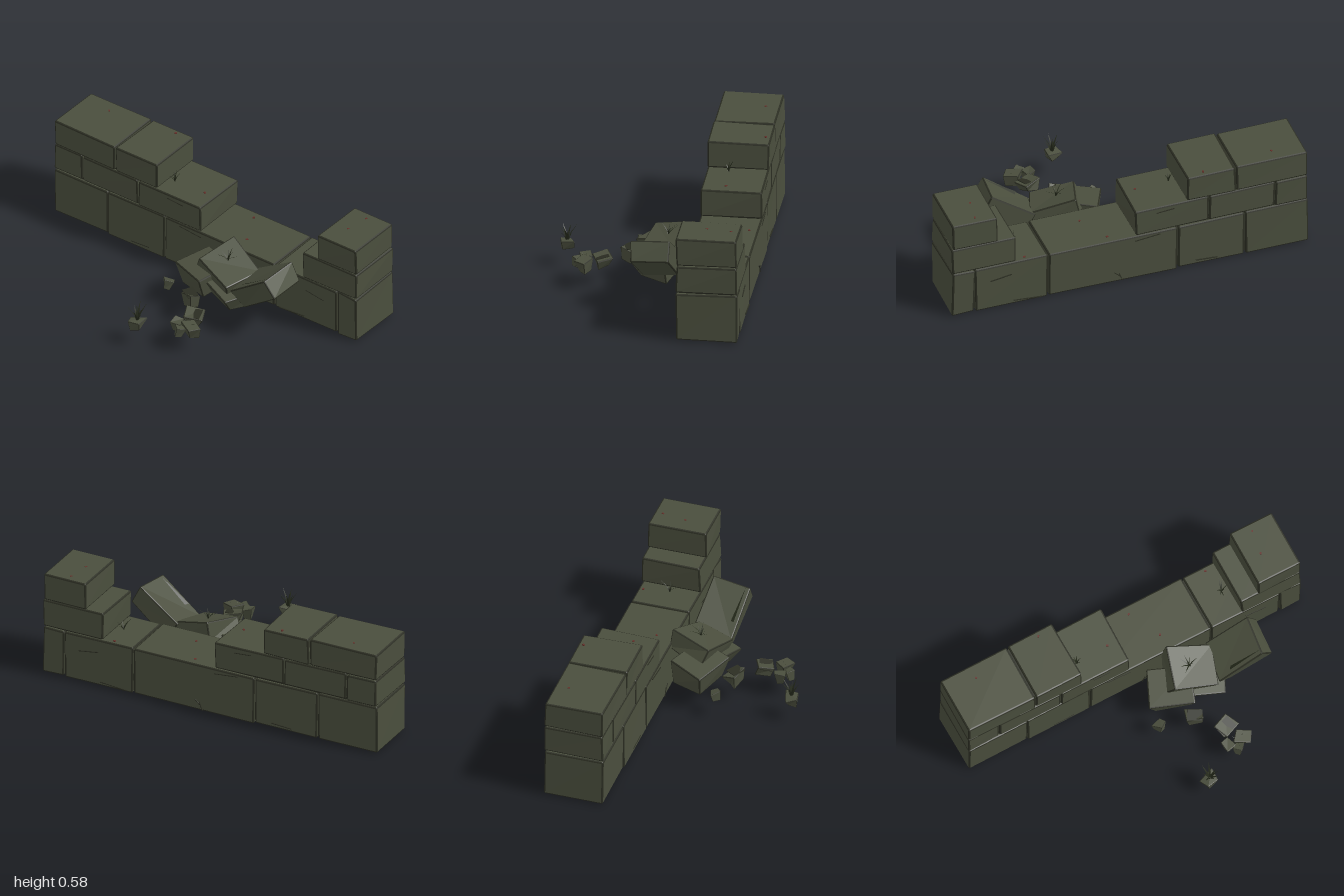
import * as THREE from 'three';
import { mergeGeometries } from 'three/addons/utils/BufferGeometryUtils.js';
import { RoundedBoxGeometry } from 'three/addons/geometries/RoundedBoxGeometry.js';

const mat = (name, color, side = THREE.FrontSide) => {
  const m = new THREE.MeshStandardMaterial({ color, side });
  m.name = name;
  return m;
};

export function createModel() {
  const root = new THREE.Group();
  root.name = 'ruinedWall';
  const stone = mat('mossy stone', 0x4a4e3d);
  const edge = mat('dark worn edge', 0x2b2d22);
  const grass = mat('dark grass', 0x262b1c, THREE.DoubleSide);
  const red = mat('red fleck', 0x63302a);

  let seed = 7;
  const rand = () => (seed = (seed * 16807) % 2147483647) / 2147483647;
  const spread = a => (rand() * 2 - 1) * a;

  // Chamfered block: corners shifted as whole octants, chamfers in the edge colour
  function block(name, size, pos, rot = [0, 0, 0], jitter = 0.004, bevel = 0.009, taper = 1) {
    const src = new RoundedBoxGeometry(...size, 1, bevel);
    const flat = src.index ? src.toNonIndexed() : src;
    const p = flat.attributes.position;
    const shift = Array.from({ length: 8 }, () => [spread(jitter), spread(jitter), spread(jitter)]);
    const faces = [], edges = [];
    const v = [new THREE.Vector3(), new THREE.Vector3(), new THREE.Vector3()];
    const n = new THREE.Vector3();
    const tri = new THREE.Triangle();
    for (let i = 0; i < p.count; i += 3) {
      v.forEach((q, k) => q.fromBufferAttribute(p, i + k));
      tri.set(...v).getNormal(n);
      const out = Math.max(Math.abs(n.x), Math.abs(n.y), Math.abs(n.z)) > 0.98 ? faces : edges;
      for (const q of v) {
        const s = shift[(q.x > 0 ? 1 : 0) + (q.y > 0 ? 2 : 0) + (q.z > 0 ? 4 : 0)];
        const t = q.y < 0 ? taper : 1;
        out.push(q.x * t + s[0], q.y + s[1], q.z * t + s[2]);
      }
    }
    const g = new THREE.BufferGeometry();
    g.setAttribute('position', new THREE.Float32BufferAttribute(faces.concat(edges), 3));
    g.addGroup(0, faces.length / 3, 0);
    g.addGroup(faces.length / 3, edges.length / 3, 1);
    g.computeVertexNormals();
    const m = new THREE.Mesh(g, [stone, edge]);
    m.name = name;
    m.position.set(...pos);
    m.rotation.set(...rot);
    root.add(m);
    return m;
  }

  function box(name, size, pos, material, rot = [0, 0, 0]) {
    const m = new THREE.Mesh(new THREE.BoxGeometry(...size), material);
    m.name = name;
    m.position.set(...pos);
    m.rotation.set(...rot);
    root.add(m);
  }

  // Wall courses: bottom, top, then runs of joints along x
  const courses = [
    [0.004, 0.272, [[-1, -0.645, -0.27, 0.455, 0.865, 0.995]]],
    [0.276, 0.428, [[-0.997, -0.815, -0.445, -0.03], [0.635, 0.995]]],
    [0.432, 0.581, [[-0.997, -0.595, -0.32], [0.735, 0.99]]],
  ];
  courses.forEach(([y0, y1, runs], row) => {
    for (const xs of runs) {
      for (let i = 0; i < xs.length - 1; i++) {
        block('wallBlock', [xs[i + 1] - xs[i] - 0.005, y1 - y0, 0.325],
          [(xs[i] + xs[i + 1]) / 2, (y0 + y1) / 2, -0.366], [0, 0, 0], 0.0035, 0.009);
      }
      const a = xs[0] + 0.02, b = xs[xs.length - 1] - 0.02;
      box('jointFill', [b - a, y1 - y0 - (row ? 0.01 : 0.03), 0.295],
        [(a + b) / 2, (y0 + y1) / 2 - (row ? 0.01 : 0), -0.366], edge);
    }
  });

  // Fallen blocks in front of the gap
  block('fallenBlockLeft', [0.24, 0.13, 0.2], [0.12, 0.17, -0.04], [0.08, -0.42, 0.1], 0.016, 0.007, 0.88);
  block('fallenBlockLow', [0.22, 0.1, 0.2], [0.31, 0.15, -0.02], [0.1, -0.35, -0.1], 0.016, 0.007, 0.85);
  block('fallenBlockTop', [0.26, 0.12, 0.22], [0.25, 0.235, -0.075], [0.2, -0.32, -0.28], 0.014, 0.007);
  block('fallenBlockRight', [0.285, 0.115, 0.215], [0.525, 0.265, -0.035], [0.1, -0.1, 0.58], 0.012, 0.007);

  // Thin chip standing off the leaning block
  const chip = new THREE.BufferGeometry();
  chip.setAttribute('position', new THREE.Float32BufferAttribute([
    0.43, 0.28, 0.05, 0.45, 0.275, 0.02, 0.6, 0.392, 0.062,
    0.45, 0.275, 0.02, 0.61, 0.38, 0.02, 0.6, 0.392, 0.062], 3));
  chip.computeVertexNormals();
  const chipMesh = new THREE.Mesh(chip, grass);
  chipMesh.name = 'stoneChip';
  root.add(chipMesh);

  // Scattered rubble, narrower at the foot
  const rubble = [
    [-0.02, 0.12, 0.1, 0.055, 0.05, 0.5], [0.165, 0.125, 0.15, 0.09, 0.075, -0.5],
    [0.28, 0.13, 0.27, 0.1, 0.055, 0.25], [0.245, 0.12, 0.37, 0.06, 0.06, 0.3],
    [0.335, 0.125, 0.365, 0.085, 0.065, -0.6], [0.29, 0.12, 0.41, 0.05, 0.05, 0.7],
    [0.07, 0.118, 0.49, 0.08, 0.05, 0.25],
  ];
  for (const [x, y, z, s, h, yaw] of rubble) {
    block('rubble', [s, h, s * 0.9], [x, y, z], [spread(0.2), yaw, spread(0.2)], s * 0.13, s * 0.05, 0.68);
  }
  box('rubbleFlake', [0.08, 0.004, 0.06], [0.165, 0.17, 0.15], edge, [0.06, -0.5, 0]);
  box('rubbleFlake', [0.09, 0.004, 0.07], [0.28, 0.158, 0.28], edge, [0.2, 0.3, 0.05]);

  // Grass tufts: bent, pointed blades fanned around a root
  function tuft(x, y, z, height, reach, count) {
    const blades = [];
    for (let i = 0; i < count; i++) {
      const w = height * 0.055, h = height * (0.6 + 0.4 * rand()), r = reach * (0.25 + 0.75 * rand());
      const g = new THREE.BufferGeometry();
      g.setAttribute('position', new THREE.Float32BufferAttribute([
        -w, 0, 0, w, 0, 0, w * 0.8, h * 0.55, r * 0.35, -w * 0.8, h * 0.55, r * 0.35, 0, h, r], 3));
      g.setIndex([0, 1, 2, 0, 2, 3, 3, 2, 4]);
      g.computeVertexNormals();
      blades.push(g.rotateY((i / count) * Math.PI * 2 + spread(0.3)));
    }
    const m = new THREE.Mesh(mergeGeometries(blades), grass);
    m.name = 'grassTuft';
    m.position.set(x, y, z);
    root.add(m);
  }
  tuft(0.07, 0.13, 0.49, 0.12, 0.06, 11);
  tuft(-0.29, 0.428, -0.32, 0.06, 0.045, 8);
  tuft(0.6, 0.272, -0.36, 0.06, 0.06, 8);
  tuft(0.25, 0.29, -0.07, 0.06, 0.07, 8);
  tuft(0.3, 0.14, 0.37, 0.035, 0.06, 7);

  // Hairline cracks on the front and back faces
  const cracks = [[0.05, 0.03, 0.05, 1.2], [0.07, 0.05, 0.04, 0.7], [-0.1, 0.25, 0.14, -0.1],
    [0.57, 0.02, 0.16, 0.08], [-0.43, 0.03, 0.12, 0.06], [0.72, 0.19, 0.12, -0.15], [-0.2, 0.4, 0.1, -0.08]];
  for (const [x, y, len, tilt] of cracks) {
    for (const z of [-0.203, -0.529]) box('crack', [len, 0.004, 0.008], [x, y, z], edge, [0, 0, tilt]);
  }

  // Red flecks on the top faces
  const flecks = [[-0.82, 0.581, -0.45], [-0.42, 0.581, -0.5], [-0.1, 0.428, -0.33], [0.11, 0.272, -0.48],
    [0.2, 0.272, -0.3], [0.58, 0.272, -0.5], [0.83, 0.581, -0.35], [0.85, 0.581, -0.48]];
  for (const p of flecks) box('fleck', [0.012, 0.008, 0.009], p, red, [0, p[0] * 5, 0]);

  return root;
}
